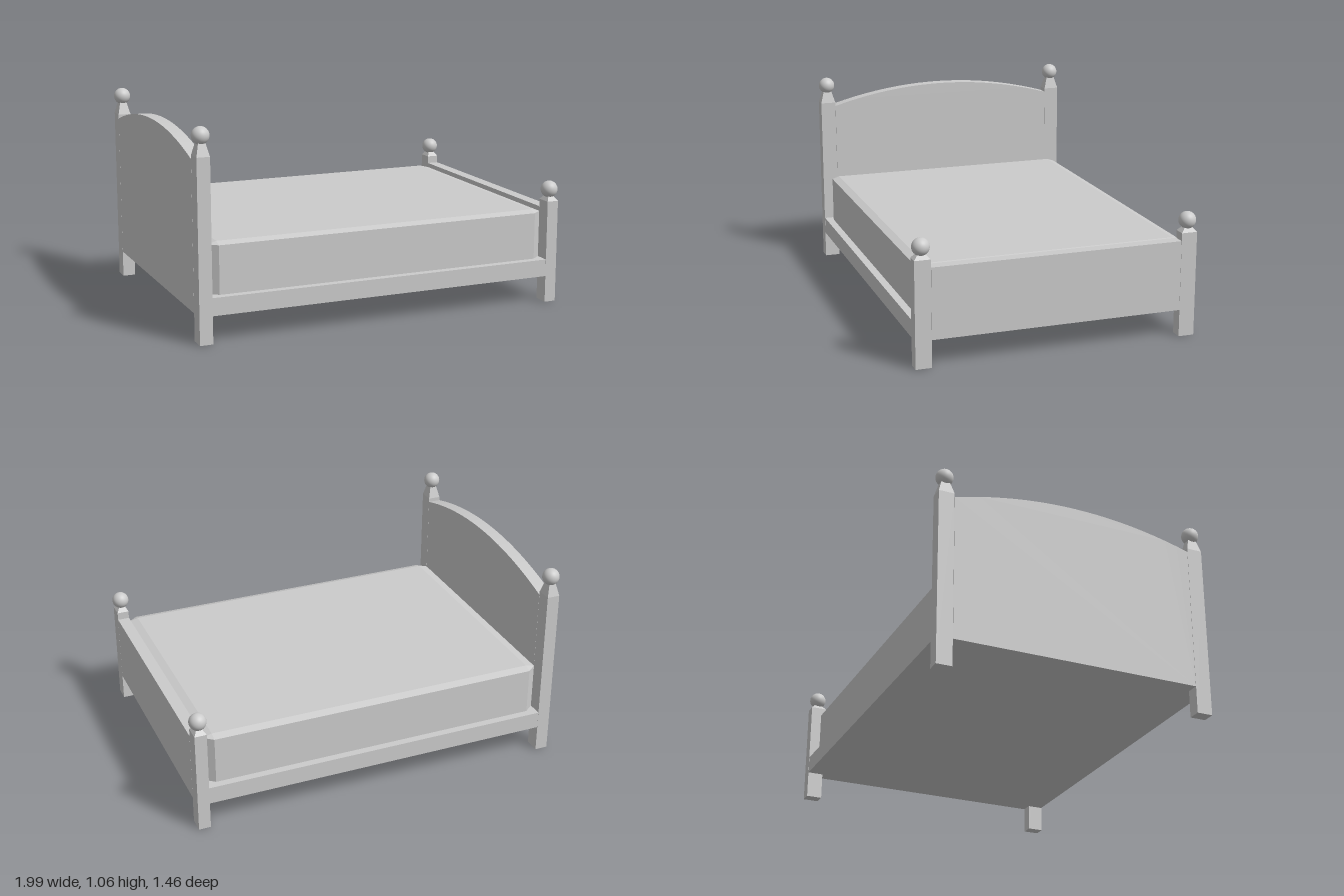
import * as THREE from 'three';
import { ConvexGeometry } from 'three/addons/geometries/ConvexGeometry.js';

const flat = new THREE.MeshStandardMaterial({ color: 0xcccccc, flatShading: true });
const smooth = new THREE.MeshStandardMaterial({ color: 0xcccccc });

const Z_IN = 0.645, Z_OUT = 0.727, Z_MID = 0.687;
const UNDER = 0.14, RAIL_TOP = 0.23;

function add(parent, name, geometry, material = flat) {
  const mesh = new THREE.Mesh(geometry, material);
  mesh.name = name;
  parent.add(mesh);
  return mesh;
}

// Box given by its minimum and maximum corners
function box(parent, name, [x0, y0, z0], [x1, y1, z1]) {
  const mesh = add(parent, name, new THREE.BoxGeometry(x1 - x0, y1 - y0, z1 - z0));
  mesh.position.set((x0 + x1) / 2, (y0 + y1) / 2, (z0 + z1) / 2);
}

// Square post with a tapered neck and a ball on top
function post(name, x0, x1, side, shoulder, neckTop, taper, ballY) {
  const group = new THREE.Group();
  group.name = name;
  const x = (x0 + x1) / 2, w = x1 - x0, d = Z_OUT - Z_IN;
  box(group, 'postShaft', [x0, 0, side * Z_MID - d / 2], [x1, shoulder, side * Z_MID + d / 2]);

  const neck = add(group, 'postNeck',
    new THREE.CylinderGeometry(taper * Math.SQRT1_2, Math.SQRT1_2, neckTop - shoulder, 4).rotateY(Math.PI / 4));
  neck.scale.set(w, 1, d);
  neck.position.set(x, (shoulder + neckTop) / 2, side * Z_MID);

  const ball = add(group, 'postBall', new THREE.SphereGeometry(0.044, 32, 20), smooth);
  ball.position.set(x, ballY, side * Z_MID);
  return group;
}

// Headboard panel with an arched top edge
function headboard(x0, x1) {
  const shape = new THREE.Shape();
  shape.moveTo(-Z_IN, UNDER);
  shape.lineTo(Z_IN, UNDER);
  const steps = 20;
  for (let i = 0; i <= steps; i++) {
    const t = 1 - (2 * i) / steps;
    shape.lineTo(t * Z_IN, 0.99 - 0.095 * t * t);
  }
  const geometry = new THREE.ExtrudeGeometry(shape, { depth: x1 - x0, bevelEnabled: false });
  return geometry.rotateY(Math.PI / 2).translate(x0, 0, 0);
}

// Mattress with cut corners and a sloping top edge
function mattress(x0, x1) {
  const cx = (x0 + x1) / 2, hx = (x1 - x0) / 2, hz = 0.687, cutX = 0.05, cutZ = 0.04;
  const points = [];
  for (const sx of [-1, 1]) for (const sz of [-1, 1]) {
    const p = (x, y, z) => points.push(new THREE.Vector3(cx + sx * x, y, sz * z));
    for (const y of [RAIL_TOP, 0.475]) {
      p(hx, y, hz - cutZ);
      p(hx - cutX, y, hz);
    }
    p(hx - cutX, 0.488, hz - cutZ);
  }
  return new ConvexGeometry(points);
}

export function createModel() {
  const bed = new THREE.Group();
  bed.name = 'bed';
  const head = [-0.988, -0.921], foot = [0.917, 0.979];

  // Four corner posts
  for (const [label, side] of [['Front', 1], ['Back', -1]]) {
    bed.add(post('headPost' + label, ...head, side, 0.915, 0.985, 0.5, 1.012));
    bed.add(post('footPost' + label, ...foot, side, 0.54, 0.565, 0.45, 0.598));
  }

  // End boards, base and mattress
  add(bed, 'headboard', headboard(...head));
  box(bed, 'footboard', [foot[0], UNDER, -Z_IN], [foot[1], 0.5, Z_IN]);
  box(bed, 'bedBase', [head[1], UNDER, -Z_OUT], [foot[0], RAIL_TOP, Z_OUT]);
  add(bed, 'mattress', mattress(head[1], foot[0]));
  return bed;
}
